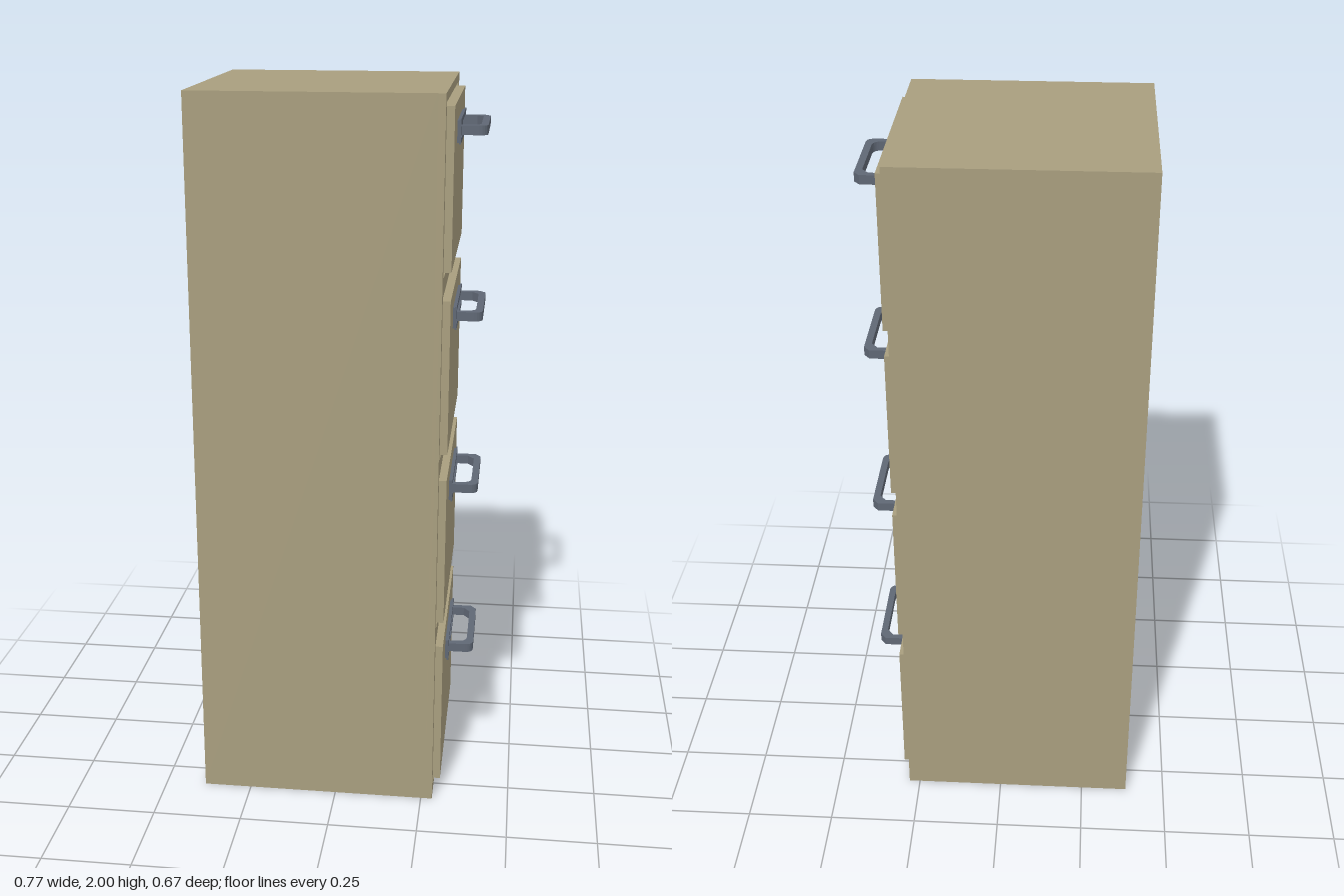
import * as THREE from 'three';

const paint = new THREE.MeshStandardMaterial({ color: 0xa89e7e });
paint.name = 'khaki paint';
const metal = new THREE.MeshStandardMaterial({ color: 0x5f6774 });
metal.name = 'slate metal';

function box(name, mat, x0, x1, y0, y1, halfZ) {
  const m = new THREE.Mesh(new THREE.BoxGeometry(x1 - x0, y1 - y0, halfZ * 2), mat);
  m.position.set((x0 + x1) / 2, (y0 + y1) / 2, 0);
  m.name = name;
  return m;
}

function trace(path, halfW, y0, y1) {
  path.moveTo(-halfW, y0);
  path.lineTo(halfW, y0);
  path.lineTo(halfW, y1);
  path.lineTo(-halfW, y1);
  path.closePath();
  return path;
}

// Rectangular panel with rectangular openings, facing +x
function panel(name, mat, x0, x1, outer, holes) {
  const shape = trace(new THREE.Shape(), ...outer);
  holes.forEach((h) => shape.holes.push(trace(new THREE.Path(), ...h)));
  const geo = new THREE.ExtrudeGeometry(shape, { depth: x1 - x0, bevelEnabled: false });
  geo.rotateY(Math.PI / 2).translate(x0, 0, 0);
  const m = new THREE.Mesh(geo, mat);
  m.name = name;
  return m;
}

// Flat bail handle: one chamfered and one rounded corner, drawn in x and z
function handleGrip(y0, y1) {
  const s = new THREE.Shape();
  s.moveTo(0.305, -0.133);
  s.lineTo(0.366, -0.133);
  s.lineTo(0.382, -0.113);
  s.lineTo(0.382, 0.108);
  s.quadraticCurveTo(0.382, 0.132, 0.358, 0.132);
  s.lineTo(0.305, 0.132);
  s.lineTo(0.305, 0.112);
  s.lineTo(0.336, 0.112);
  s.quadraticCurveTo(0.363, 0.11, 0.363, 0.085);
  s.lineTo(0.363, -0.092);
  s.lineTo(0.345, -0.115);
  s.lineTo(0.305, -0.115);
  s.closePath();
  const geo = new THREE.ExtrudeGeometry(s, { depth: y1 - y0, bevelEnabled: false, curveSegments: 5 });
  geo.rotateX(Math.PI / 2).translate(0, y1, 0);
  const m = new THREE.Mesh(geo, metal);
  m.name = 'handleGrip';
  return m;
}

export function createModel() {
  const group = new THREE.Group();
  group.name = 'filingCabinet';
  const levels = [0, 0.5, 1, 1.5];

  // Cabinet shell and the face frame with drawer recesses
  group.add(box('cabinetBody', paint, -0.385, 0.262, 0, 2, 0.333));
  group.add(panel('faceFrame', paint, 0.262, 0.282, [0.333, 0, 2],
    levels.map((y) => [0.301, y + 0.025, y + 0.476])));

  // Drawers with their handles
  levels.forEach((y, i) => {
    const drawer = new THREE.Group();
    drawer.name = `drawer${i + 1}`;
    drawer.position.y = y;
    drawer.add(box('drawerFront', paint, 0.262, 0.302, 0.04, 0.465, 0.285));
    drawer.add(box('handlePlate', metal, 0.302, 0.304, 0.356, 0.414, 0.142));
    drawer.add(panel('plateBase', metal, 0.302, 0.307, [0.142, 0.356, 0.414], [[0.132, 0.367, 0.403]]));
    drawer.add(panel('plateRim', metal, 0.307, 0.312, [0.147, 0.353, 0.417], [[0.134, 0.367, 0.403]]));
    drawer.add(handleGrip(0.375, 0.4));
    group.add(drawer);
  });
  return group;
}
